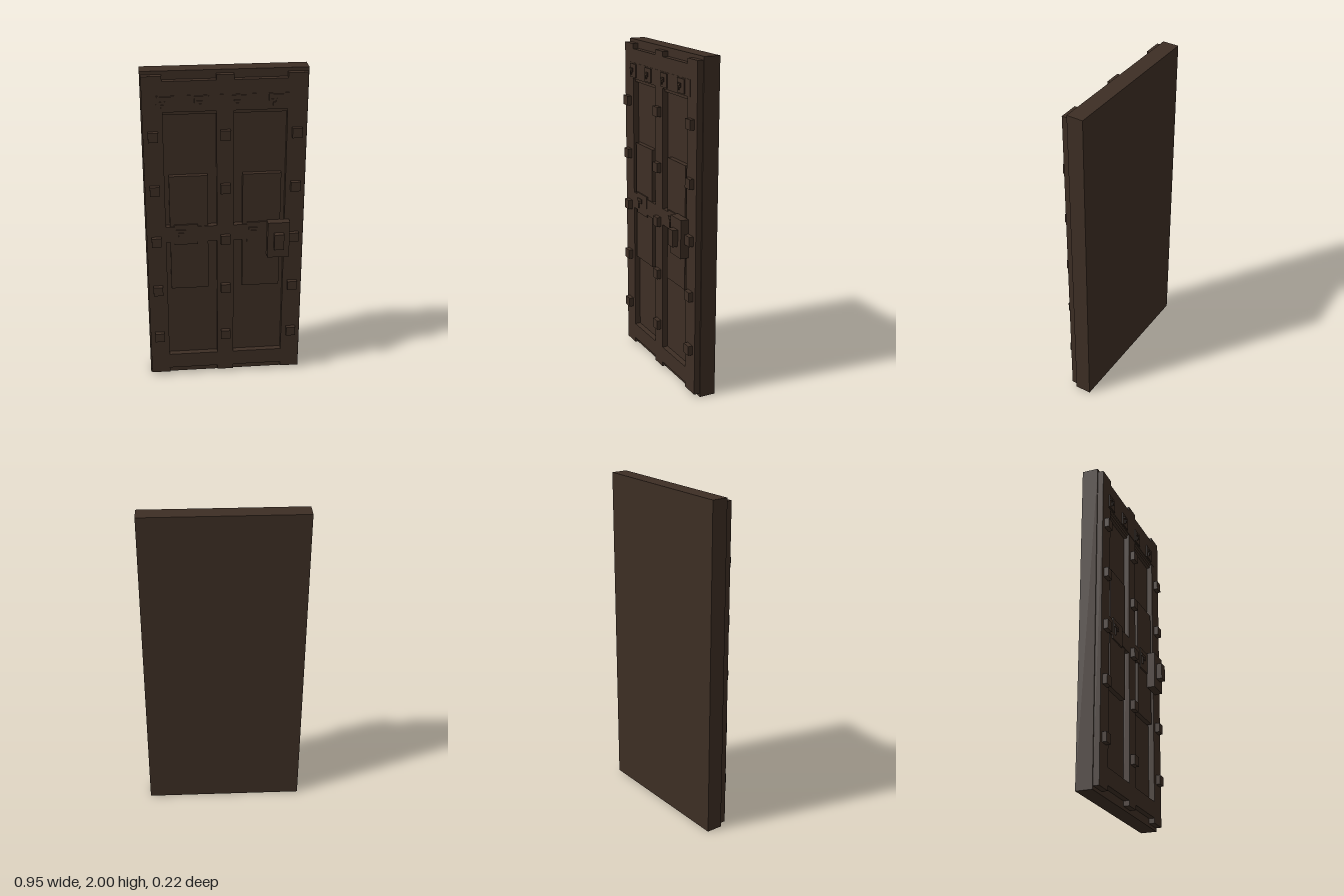
import * as THREE from 'three';

export function createModel() {
  const door = new THREE.Group();
  door.name = 'door';
  const wood = new THREE.MeshStandardMaterial({ color: 0x3d2e24 });
  wood.name = 'dark wood';

  // Box given by its extents
  const box = (name, x0, x1, y0, y1, z0, z1, parent = door) => {
    const mesh = new THREE.Mesh(new THREE.BoxGeometry(x1 - x0, y1 - y0, z1 - z0), wood);
    mesh.position.set((x0 + x1) / 2, (y0 + y1) / 2, (z0 + z1) / 2);
    mesh.name = name;
    parent.add(mesh);
    return mesh;
  };
  const BACK = -0.01, FACE = 0.025;

  // Slab and upright stiles
  box('slab', -0.477, 0.477, 0, 2, -0.108, BACK);
  box('leftStile', 0.355, 0.47, 0.02, 1.98, BACK, FACE);
  box('rightStile', -0.47, -0.355, 0.02, 1.98, BACK, FACE);
  box('centreStile', -0.05, 0.05, 0.02, 1.98, BACK, FACE);

  // Rails and raised panels in both bays
  for (const s of [-1, 1]) {
    const bay = (name, a, b, y0, y1, z) =>
      box(name, Math.min(s * a, s * b), Math.max(s * a, s * b), y0, y1, BACK, z);
    bay('topRail', 0.05, 0.355, 1.77, 1.95, FACE);
    bay('topRailLip', 0.05, 0.355, 1.75, 1.77, 0.01);
    bay('middleRail', 0.05, 0.355, 0.95, 1.05, FACE);
    bay('bottomRail', 0.05, 0.355, 0.05, 0.15, FACE);
    bay('raisedPanel', 0.103, 0.33, 0.63, 1.375, 0.02);
  }

  // Square studs
  for (const x of [-0.413, 0, 0.413])
    for (let i = 0; i < 5; i++) {
      const y = 0.293 + i * 0.334;
      box('stud', x - 0.029, x + 0.029, y - 0.029, y + 0.029, FACE, 0.052);
    }

  // Frieze band with four carved tiles
  box('friezeBand', -0.39, 0.39, 1.772, 1.867, FACE, 0.027);
  for (let i = 0; i < 4; i++) {
    const tile = new THREE.Group();
    tile.name = 'carvedTile';
    tile.position.set(-0.345 + i * 0.211, 1.82, 0);
    box('tilePlate', -0.041, 0.041, -0.041, 0.041, 0.026, 0.033, tile);
    box('hookTop', -0.028, 0.006, 0.008, 0.016, 0.033, 0.04, tile);
    box('hookSide', -0.002, 0.006, -0.01, 0.008, 0.033, 0.04, tile);
    box('hookMiddle', -0.018, -0.002, -0.01, -0.002, 0.033, 0.04, tile);
    box('hookFoot', -0.018, -0.01, -0.025, -0.01, 0.033, 0.04, tile);
    door.add(tile);
  }

  // Carvings on the middle rail
  for (const x of [-0.235, 0.2]) {
    const carving = new THREE.Group();
    carving.name = 'railCarving';
    carving.position.set(x, 1, 0);
    box('carvingPlate', -0.07, 0.07, -0.065, 0.065, 0.02, 0.028, carving);
    box('carvingTop', -0.06, 0, 0.016, 0.032, 0.028, 0.034, carving);
    box('carvingSide', -0.012, 0, 0.003, 0.016, 0.028, 0.034, carving);
    box('carvingMiddle', -0.045, -0.012, 0.003, 0.012, 0.028, 0.034, carving);
    box('carvingFoot', -0.045, -0.033, -0.032, 0.003, 0.028, 0.034, carving);
    door.add(carving);
  }

  // Lock plate and handle
  box('lockPlate', 0.25, 0.382, 0.845, 1.075, FACE, 0.074);
  box('handle', 0.287, 0.345, 0.91, 1.01, 0.074, 0.108);
  return door;
}
